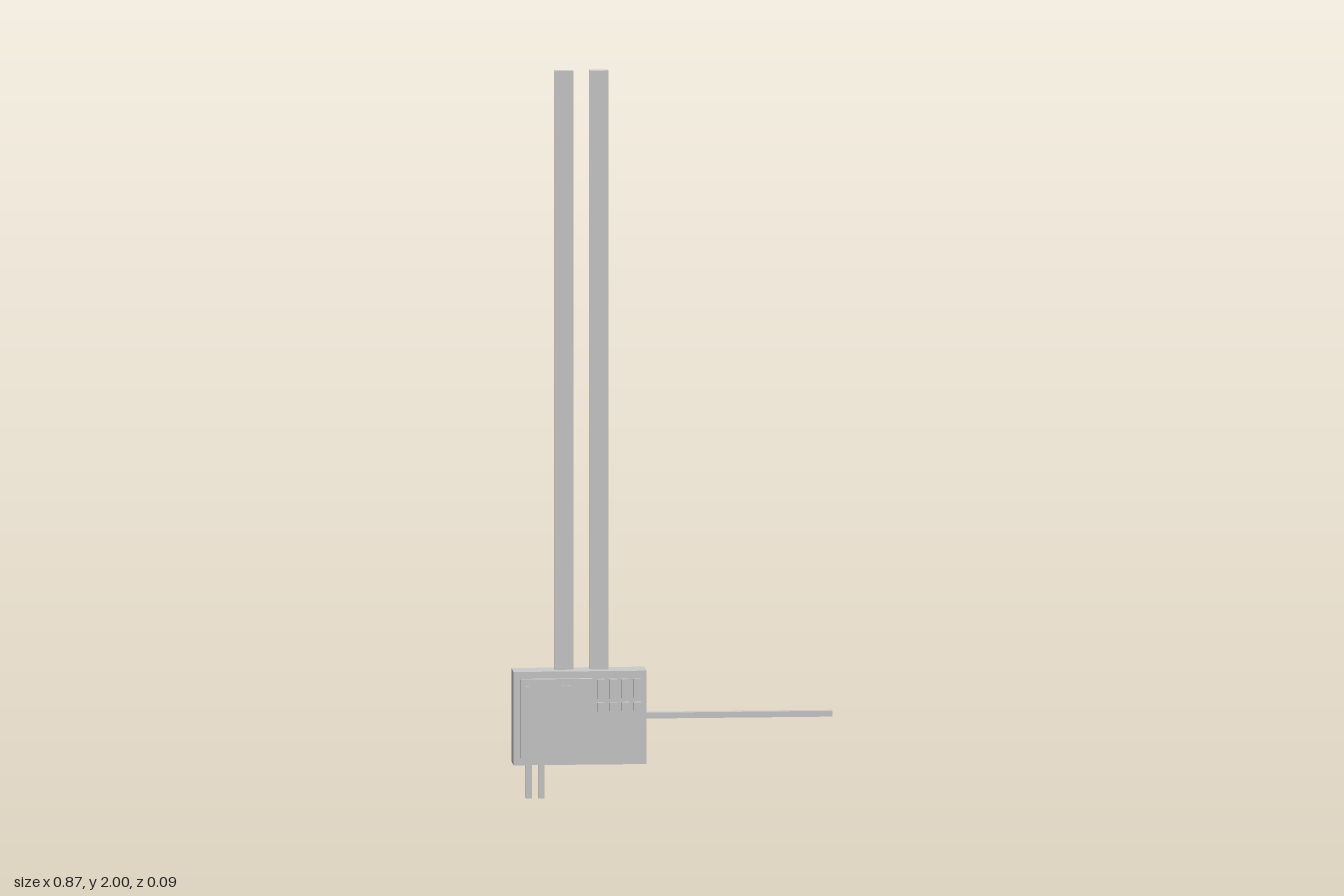
import * as THREE from 'three';

export function createModel() {
  const model = new THREE.Group();
  const material = new THREE.MeshStandardMaterial({ color: 0xcccccc, flatShading: true });

  // Box given by its lower and upper limits on each axis
  const block = (name, [x0, x1], [y0, y1], [z0, z1]) => {
    const mesh = new THREE.Mesh(new THREE.BoxGeometry(x1 - x0, y1 - y0, z1 - z0), material);
    mesh.name = name;
    mesh.position.set((x0 + x1) / 2, (y0 + y1) / 2, (z0 + z1) / 2);
    model.add(mesh);
  };

  const front = 0.028, raised = 0.042;

  // Main housing and raised front panel
  block('housing', [-0.437, -0.073], [0.095, 0.352], [-0.049, front]);
  block('frontPanel', [-0.418, -0.222], [0.116, 0.333], [front, raised]);

  // Two tall flat bars rising from the top
  for (const x of [-0.321, -0.225]) block('tallBar', [x, x + 0.05], [0.352, 2], [-0.029, -0.005]);

  // Thin rod out of the left side
  block('sideRod', [-0.073, 0.437], [0.216, 0.232], [-0.021, 0]);

  // Two short pins under the housing
  for (const x of [-0.401, -0.366]) block('bottomPin', [x, x + 0.016], [0, 0.095], [-0.016, 0.005]);

  // Four columns, each with a tall key above a short one
  for (let i = 0; i < 4; i++) {
    const x = -0.209 + i * 0.033;
    block('tallKey', [x, x + 0.021], [0.277, 0.331], [front, raised]);
    block('shortKey', [x, x + 0.021], [0.243, 0.267], [front, raised]);
  }

  // Row of small studs near the top of the panel
  for (let i = 0; i < 8; i++) {
    const x = -0.405 + i * 0.0163;
    block('panelStud', [x, x + 0.009], [0.301, 0.315], [raised, 0.046]);
  }

  return model;
}
